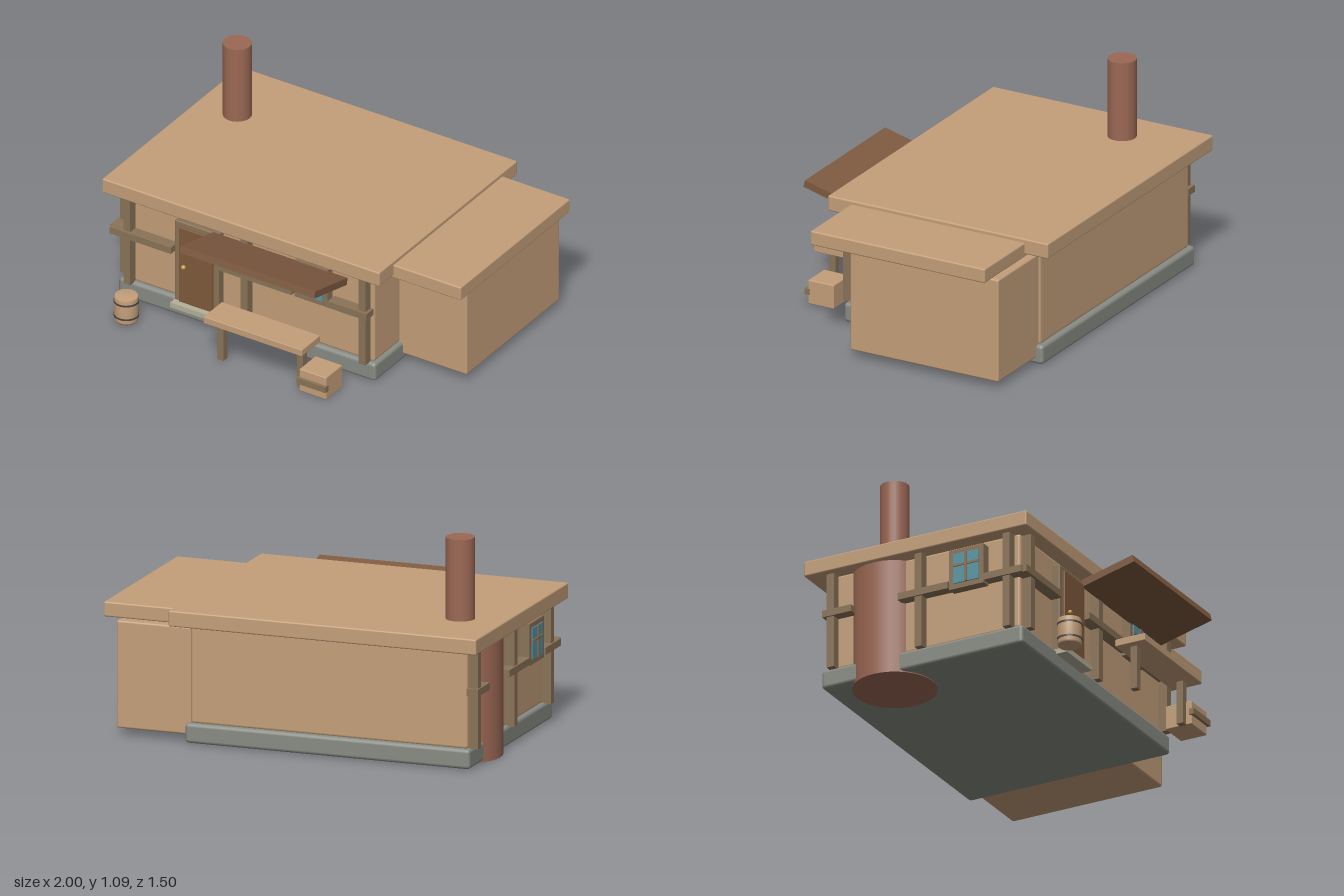
import * as THREE from 'three';
import { RoundedBoxGeometry } from 'three/addons/geometries/RoundedBoxGeometry.js';

const mat = (color) => new THREE.MeshStandardMaterial({ color });
const M = {
  tan: mat(0xc49f7a), timber: mat(0x8a7358), door: mat(0x7f5a3c), awning: mat(0x7f5a40),
  brick: mat(0x9c6854), stone: mat(0x888c84), step: mat(0xb5b09a), glass: mat(0x5a95a5),
  brass: mat(0xc9a04a), iron: mat(0x4a443e),
};

export function createModel() {
  const root = new THREE.Group();
  root.name = 'house';

  const add = (name, geo, material, parent = root) => {
    const m = new THREE.Mesh(geo, material);
    m.name = name;
    parent.add(m);
    return m;
  };
  // Box from its extents; r rounds the edges
  const box = (name, material, [x0, x1], [y0, y1], [z0, z1], r = 0, parent = root) => {
    const s = [x1 - x0, y1 - y0, z1 - z0];
    const geo = r ? new RoundedBoxGeometry(...s, 2, r) : new THREE.BoxGeometry(...s);
    const m = add(name, geo, material, parent);
    m.position.set((x0 + x1) / 2, (y0 + y1) / 2, (z0 + z1) / 2);
    return m;
  };
  const lathe = (name, material, pts, x, z, seg = 32) => {
    const m = add(name, new THREE.LatheGeometry(pts.map((p) => new THREE.Vector2(...p)), seg), material);
    m.position.set(x, 0, z);
    return m;
  };

  // Main building and annex
  box('foundation', M.stone, [-0.94, 0.55], [0.005, 0.105], [-0.685, 0.435], 0.018);
  box('mainWalls', M.tan, [-0.92, 0.53], [0.1, 0.605], [-0.66, 0.412], 0.015);
  box('mainRoof', M.tan, [-1, 0.61], [0.6, 0.68], [-0.75, 0.49], 0.008);
  box('annexWalls', M.tan, [0.46, 0.92], [0.04, 0.58], [-0.65, 0.185], 0.01);
  box('annexRoof', M.tan, [0.44, 1], [0.585, 0.66], [-0.62, 0.362], 0.008);

  // Round hearth bulging through the side wall, with the stack above
  const hearth = add('hearth', new THREE.CylinderGeometry(0.21, 0.21, 0.61, 32), M.brick);
  hearth.position.set(-0.77, 0.305, -0.37);
  const stack = add('chimneyStack', new THREE.CylinderGeometry(0.072, 0.072, 0.5, 24), M.brick);
  stack.position.set(-0.77, 0.84, -0.37);

  // Timber framing on the front and the chimney side
  const H = 0.02;
  for (const x of [-0.875, -0.195, 0.49])
    box('frontPost', M.timber, [x - H, x + H], [0.1, 0.602], [0.405, 0.46]);
  for (const z of [-0.62, -0.13, 0.36])
    box('sidePost', M.timber, [-0.967, -0.915], [0.1, 0.602], [z - H, z + H]);
  for (const span of [[-0.965, -0.61], [-0.335, 0.09], [0.3, 0.525]])
    box('frontRail', M.timber, span, [0.37, 0.406], [0.405, 0.474]);
  for (const span of [[-0.66, -0.5], [-0.24, 0.04], [0.24, 0.45]])
    box('sideRail', M.timber, [-0.976, -0.915], [0.37, 0.406], span);

  // Windows: frame, pane and glazing bars, facing +z from the wall plane
  const makeWindow = (name) => {
    const g = new THREE.Group();
    g.name = name;
    box('windowFrame', M.timber, [-0.095, 0.095], [0.36, 0.57], [-0.005, 0.05], 0, g);
    box('windowPane', M.glass, [-0.07, 0.07], [0.387, 0.545], [0, 0.056], 0, g);
    box('uprightBar', M.timber, [-0.006, 0.006], [0.387, 0.545], [0, 0.061], 0, g);
    box('crossBar', M.timber, [-0.07, 0.07], [0.475, 0.487], [0, 0.061], 0, g);
    root.add(g);
    return g;
  };
  makeWindow('frontWindow').position.set(0.195, 0, 0.41);
  const side = makeWindow('sideWindow');
  side.position.set(-0.92, 0, 0.14);
  side.rotation.y = -Math.PI / 2;

  // Door with frame, knob and step
  box('doorFrame', M.timber, [-0.6, -0.345], [0.1, 0.56], [0.405, 0.455], 0.006);
  box('doorPanel', M.door, [-0.57, -0.375], [0.108, 0.535], [0.405, 0.467], 0.005);
  add('doorKnob', new THREE.SphereGeometry(0.012, 16, 10), M.brass).position.set(-0.535, 0.32, 0.477);
  box('doorStep', M.step, [-0.6, -0.345], [0.08, 0.107], [0.4, 0.495]);

  // Awning tilted up towards the front
  const awning = add('awning', new THREE.BoxGeometry(0.78, 0.037, 0.3), M.awning);
  awning.position.set(0.01, 0.579, 0.598);
  awning.rotation.x = -0.245;

  // Outdoor counter
  box('counterTop', M.tan, [-0.252, 0.32], [0.23, 0.268], [0.57, 0.735], 0.004);
  for (const x of [-0.195, 0.267])
    box('counterLeg', M.timber, [x - 0.018, x + 0.018], [0.005, 0.232], [0.634, 0.67]);

  // Crate with a front slat
  box('crate', M.tan, [0.282, 0.438], [0.005, 0.13], [0.555, 0.7], 0.005);
  box('crateSlat', M.timber, [0.276, 0.444], [0.053, 0.085], [0.69, 0.716]);

  // Barrel with iron hoops
  lathe('barrel', M.tan, [[0, 0.01], [0.056, 0.01], [0.06, 0.02], [0.061, 0.08], [0.06, 0.14],
    [0.056, 0.15], [0, 0.15]], -0.78, 0.61);
  for (const y of [0.042, 0.12]) {
    const hoop = add('barrelHoop', new THREE.CylinderGeometry(0.0625, 0.0625, 0.009, 32), M.iron);
    hoop.position.set(-0.78, y, 0.61);
  }
  return root;
}
